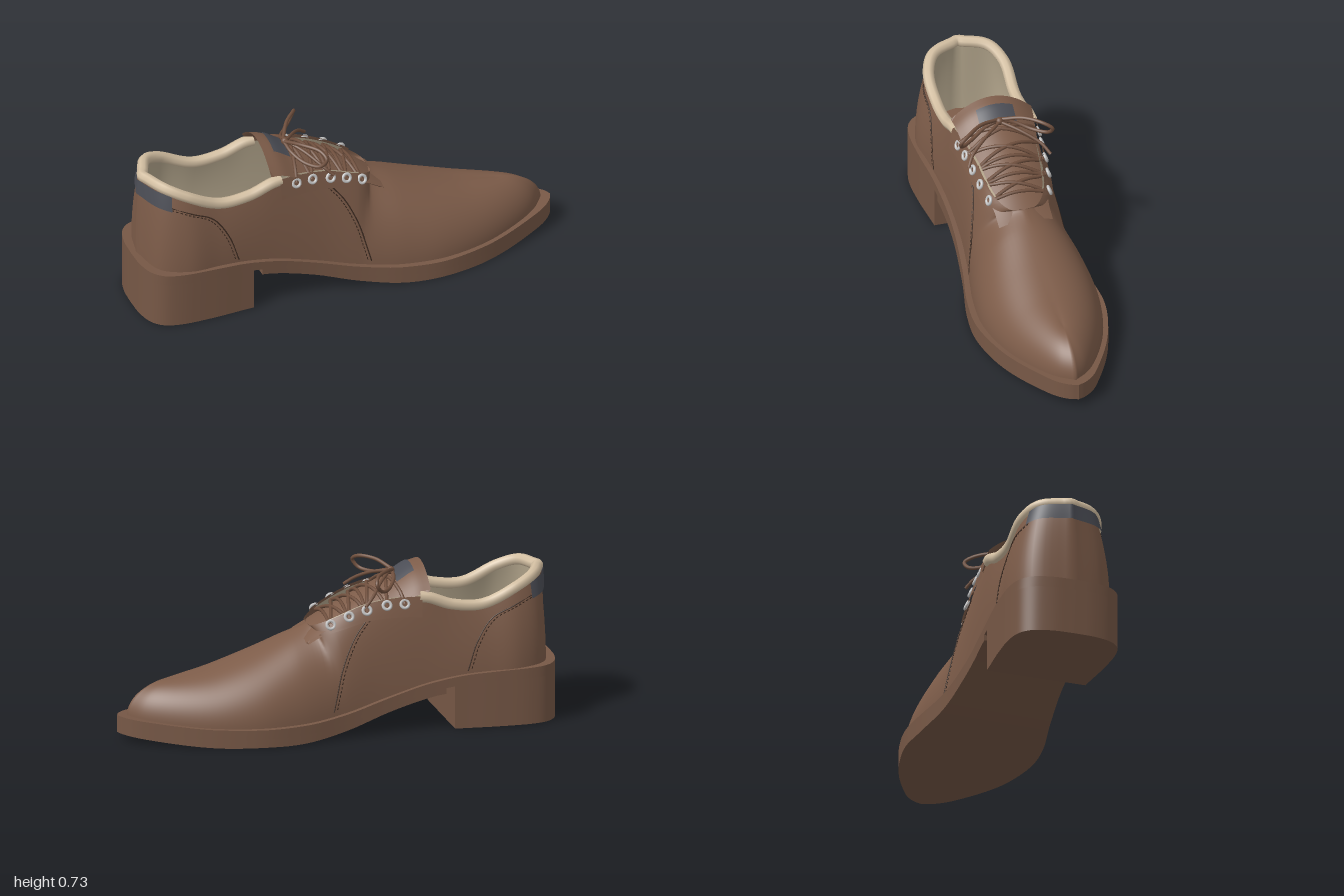
import * as THREE from 'three';
import { mergeVertices, toCreasedNormals } from 'three/addons/utils/BufferGeometryUtils.js';

const paint = (name, color) => new THREE.MeshStandardMaterial({ name, color, side: THREE.DoubleSide });
const V = (x, y, z) => new THREE.Vector3(x, y, z);

// Smooth height profile through [x, y] points sorted by x
function profile(pts) {
  const n = pts.length;
  const slope = (i) => {
    const a = pts[Math.max(i - 1, 0)], b = pts[Math.min(i + 1, n - 1)];
    return (b[1] - a[1]) / (b[0] - a[0]);
  };
  return (x) => {
    x = Math.min(Math.max(x, pts[0][0]), pts[n - 1][0]);
    let i = 0;
    while (i < n - 2 && x > pts[i + 1][0]) i++;
    const [x0, y0] = pts[i], [x1, y1] = pts[i + 1], h = x1 - x0, t = (x - x0) / h;
    const t2 = t * t, t3 = t2 * t;
    return (2 * t3 - 3 * t2 + 1) * y0 + (t3 - 2 * t2 + t) * h * slope(i)
      + (3 * t2 - 2 * t3) * y1 + (t3 - t2) * h * slope(i + 1);
  };
}

// Surface over a grid of points fn(u, v), welded for smooth normals
function grid(fn, nu, nv, crease) {
  const pos = [], idx = [];
  for (let i = 0; i <= nu; i++) for (let j = 0; j <= nv; j++) pos.push(...fn(i / nu, j / nv).toArray());
  for (let i = 0; i < nu; i++) for (let j = 0; j < nv; j++) {
    const a = i * (nv + 1) + j, b = a + nv + 1;
    idx.push(a, b, a + 1, b, b + 1, a + 1);
  }
  let g = new THREE.BufferGeometry();
  g.setAttribute('position', new THREE.Float32BufferAttribute(pos, 3));
  g.setIndex(idx);
  g = mergeVertices(g, 1e-4);
  g.computeVertexNormals();
  return crease ? toCreasedNormals(g, crease) : g;
}

// Solid layer from a half outline (x, z) between two height profiles
function slab(half, top, bottom) {
  return grid((u, v) => {
    const p = half[Math.round(u * (half.length - 1))], c = Math.round(v * 4) % 4;
    return V(p.x, c < 2 ? top(p.x) : bottom(p.x), c === 0 || c === 3 ? p.z : -p.z);
  }, half.length - 1, 4, 0.6);
}

const tube = (pts, r, n = 40) => new THREE.TubeGeometry(new THREE.CatmullRomCurve3(pts), n, r, 8);

// Height profiles of the sole layers
const weltTop = profile([[-1, 0.265], [-0.6, 0.25], [-0.4, 0.22], [-0.2, 0.165], [0, 0.11], [0.2, 0.085], [0.6, 0.084], [0.8, 0.097], [1, 0.115]]);
const weltLow = profile([[-1, 0.215], [-0.6, 0.207], [-0.4, 0.18], [-0.2, 0.125], [0, 0.068], [0.2, 0.042], [0.6, 0.04], [0.8, 0.052], [1, 0.075]]);
const soleLow = profile([[-0.5, 0.17], [-0.4, 0.155], [-0.2, 0.1], [0, 0.035], [0.2, 0.002], [0.4, 0], [0.6, 0], [0.8, 0.014], [1, 0.036]]);

// Upper stations from toe to heel: base x, z, rim x, y, z, arch roundness
const stations = [
  [0.955, 0, 0.74, 0.265, 0, 1], [0.9, 0.07, 0.73, 0.267, 0, 1], [0.8, 0.14, 0.68, 0.277, 0, 1],
  [0.6, 0.23, 0.55, 0.307, 0, 1], [0.4, 0.272, 0.38, 0.365, 0, 1], [0.22, 0.264, 0.22, 0.432, 0, 1],
  [0.08, 0.24, 0.13, 0.472, 0, 1], [0.03, 0.23, 0.12, 0.48, 0.06, 0.9], [-0.01, 0.224, 0.05, 0.515, 0.115, 0.7],
  [-0.15, 0.208, -0.14, 0.592, 0.15, 0.35], [-0.36, 0.205, -0.37, 0.608, 0.175, 0], [-0.5, 0.212, -0.5, 0.565, 0.178, 0],
  [-0.65, 0.224, -0.64, 0.555, 0.178, 0], [-0.8, 0.234, -0.8, 0.62, 0.175, 0], [-0.925, 0.175, -0.9, 0.657, 0.125, 0],
  [-0.975, 0, -0.96, 0.662, 0, 0]];
const LAST = stations.length - 1;
const baseCurve = new THREE.CatmullRomCurve3(stations.map((s) => V(s[0], 0, s[1])));
const rimCurve = new THREE.CatmullRomCurve3(stations.map((s) => V(s[2], s[3], s[4])));

function upperPoint(s, t, side = 1) {
  const b = baseCurve.getPoint(s / LAST), r = rimCurve.getPoint(s / LAST);
  b.y = weltTop(b.x) - 0.005;
  const i = Math.min(Math.floor(s), LAST - 1);
  const k = THREE.MathUtils.lerp(stations[i][5], stations[i + 1][5], s - i), a = t * Math.PI / 2;
  const c = k * Math.cos(a) + (1 - k) * (1 - t * t), h = k * Math.sin(a) + (1 - k) * t;
  return V(r.x + (b.x - r.x) * c, b.y + (r.y - b.y) * h, side * Math.max(0, r.z + (b.z - r.z) * c));
}

// Full loop of stations: left side to the heel, then back along the right side
const around = (u, s0) => {
  const d = (u < 0.5 ? u : 1 - u) * 2;
  return [s0 + d * (LAST - s0), u < 0.5 ? 1 : -1];
};

// Arched tongue height
const tongueMid = profile([[-0.4, 0.733], [-0.34, 0.715], [-0.27, 0.672], [-0.2, 0.64], [-0.1, 0.592], [0.05, 0.512], [0.16, 0.44]]);
const tongueWide = (x) => 0.125 + 0.062 * Math.min(1, Math.max(0, (0.1 - x) / 0.5));
const tongueY = (x, z) => tongueMid(x) - (0.02 + 0.07 * (0.16 - x) / 0.56) * (z / tongueWide(x)) ** 2;

export function createModel() {
  const shoe = new THREE.Group();
  shoe.name = 'shoe';
  const leather = paint('brown leather', 0x7d5c49), soleMat = paint('brown sole', 0x775846);
  const cream = paint('cream trim', 0xd3bfa2), liningMat = paint('beige lining', 0xb8aa90);
  const grey = paint('slate tab', 0x4b4d55), metal = paint('silver metal', 0xc4c4c4);
  const laceMat = paint('lace brown', 0x6f4f3d), thread = paint('dark thread', 0x3d2b21);
  const add = (name, geo, mat) => {
    const m = new THREE.Mesh(geo, mat);
    m.name = name;
    shoe.add(m);
    return m;
  };

  // Sole layers and heel block
  const outline = new THREE.CatmullRomCurve3([[1, 0], [0.985, 0.035], [0.94, 0.085], [0.85, 0.14], [0.7, 0.215], [0.55, 0.268],
    [0.38, 0.3], [0.2, 0.288], [0, 0.25], [-0.25, 0.226], [-0.5, 0.234], [-0.7, 0.25], [-0.85, 0.25],
    [-0.925, 0.23], [-0.97, 0.185], [-0.995, 0.1], [-1, 0]].map(([x, z]) => V(x, 0, z))).getPoints(96);
  add('welt', slab(outline, weltTop, weltLow), soleMat);
  const front = outline.filter((p) => p.x > -0.46), back = outline.filter((p) => p.x < -0.5);
  add('outsole', slab([...front, V(-0.46, 0, 0.232), V(-0.46, 0, 0)], weltLow, soleLow), soleMat);
  add('heel', slab([V(-0.5, 0, 0), V(-0.5, 0, 0.234), ...back], weltLow, () => 0), soleMat);

  // Upper, lining and insole
  const upper = add('upper', grid((u, v) => {
    const [s, side] = around(u, 0);
    return upperPoint(s, v, side);
  }, 180, 20), leather);
  add('lining', grid((u, v) => {
    const [s, side] = around(u, 8), p = upperPoint(s, v, side);
    return V(p.x + 0.02 * THREE.MathUtils.smoothstep(-p.x, 0.7, 0.95), p.y, p.z * 0.93);
  }, 90, 10), liningMat);
  const inner = baseCurve.getPoints(90).filter((p) => p.x < 0.1).map((p) => V(p.x * 0.98, 0, p.z * 0.96));
  add('insole', slab([V(0.1, 0, 0), ...inner], (x) => weltTop(x) + 0.02, weltTop), leather);

  // Padded collar around the opening
  const rim = [];
  for (let i = 0; i <= 40; i++) {
    const [s, side] = around(i / 40, 9.9), p = rimCurve.getPoint(s / LAST);
    rim.push(V(p.x + 0.016 * THREE.MathUtils.smoothstep(-p.x, 0.7, 0.95), p.y, p.z * side));
  }
  add('collar', tube(rim, 0.026, 120), cream);

  // Heel tab wrapping the back
  add('heelTab', grid((u, v) => {
    const [s, side] = around(u, 13.55), p = upperPoint(s, 0.79 + 0.18 * v, side);
    const out = V(p.x + 0.75, 0, p.z).normalize().multiplyScalar(0.01);
    return p.add(out);
  }, 40, 4), grey);

  // Tongue with its patch
  add('tongue', grid((u, v) => {
    const x = -0.4 + 0.56 * u, w = tongueWide(x), under = v > 0.5;
    const z = w * (under ? 3 - 4 * v : 4 * v - 1);
    return V(x, tongueY(x, z) - (under && u > 0 && u < 1 ? 0.016 : 0), z);
  }, 40, 32, 0.9), leather);
  add('tonguePatch', grid((u, v) => {
    const x = -0.35 + 0.08 * u, z = 0.085 * (2 * v - 1);
    return V(x, tongueY(x, z) + 0.006, z);
  }, 8, 12), grey);

  // Finds a point on the side of the upper
  upper.updateMatrixWorld();
  const ray = new THREE.Raycaster();
  const onUpper = (x, y, side, lift = 0) => {
    ray.set(V(x, y, 1), V(0, 0, -1));
    const hit = ray.intersectObject(upper)[0];
    return V(x, y, side * ((hit && hit.point.z > 0 ? hit.point.z : 0.17) + lift));
  };

  const holes = [[0.05, 0.5], [-0.03, 0.537], [-0.11, 0.563], [-0.2, 0.582], [-0.28, 0.585]];
  const seams = {
    vampSeam: [[-0.12, 0.53], [-0.05, 0.44], [0.01, 0.31], [0.04, 0.2], [0.06, 0.12]],
    counterSeam: [[-0.87, 0.575], [-0.78, 0.54], [-0.68, 0.49], [-0.61, 0.39], [-0.565, 0.26]],
  };
  const eyes = { '1': [], '-1': [] };
  for (const side of [1, -1]) {
    const tag = side > 0 ? 'Left' : 'Right';

    // Eyelet facing
    add('facing' + tag, grid((u, v) => {
      const p = upperPoint(7.6 + 2.35 * u, 0.77 + 0.23 * v, side);
      return V(p.x, p.y + 0.004, p.z + side * (0.008 + 0.012 * u * u));
    }, 24, 6), leather);

    // Metal eyelets
    for (const [x, y] of holes) {
      const p = onUpper(x, y, side, 0.016);
      const ring = add('eyelet' + tag, new THREE.TorusGeometry(0.018, 0.007, 8, 20), metal);
      ring.position.copy(p);
      ring.lookAt(p.x + 0.1, p.y + 0.4, p.z + side);
      eyes[side].push(p);
    }

    // Seams with a row of stitches
    for (const [name, pts] of Object.entries(seams)) {
      add(name + tag, tube(pts.map(([x, y]) => onUpper(x, y, side)), 0.003), thread);
      const row = new THREE.CatmullRomCurve3(pts.map(([x, y]) => V(x, y, 0)));
      for (let i = 1; i < 24; i++) {
        const c = row.getPointAt(i / 24), d = row.getTangentAt(i / 24);
        const a = onUpper(c.x - 0.013, c.y - 0.004, side), b = onUpper(a.x + d.x * 0.01, a.y + d.y * 0.01, side);
        const stitch = add('stitch' + tag, new THREE.BoxGeometry(0.004, 0.004, 0.011), thread);
        stitch.position.copy(a);
        stitch.lookAt(b);
      }
    }

    // Bow loop and loose end
    add('bowLoop' + tag, tube([[-0.27, 0.695, 0.01], [-0.22, 0.718, 0.1], [-0.16, 0.715, 0.175], [-0.145, 0.69, 0.212],
      [-0.17, 0.655, 0.2], [-0.22, 0.648, 0.14], [-0.26, 0.672, 0.07], [-0.27, 0.69, 0.01]].map(([x, y, z]) => V(x, y, z * side)), 0.0085, 60), laceMat);
    add('laceEnd' + tag, tube([V(-0.26, 0.69, 0), V(-0.2, 0.665, 0.08 * side), V(-0.14, 0.62, 0.16 * side), V(-0.1, 0.585, 0.19 * side)], 0.0075, 24), laceMat);
  }

  // Laces: straight bars and crossings over the tongue
  const lace = (a, b) => {
    const pts = [];
    for (let i = 0; i <= 10; i++) {
      const p = a.clone().lerp(b, i / 10);
      if (i > 0 && i < 10) p.y = Math.max(p.y, tongueY(p.x, p.z) + 0.01);
      pts.push(p);
    }
    add('lace', tube(pts, 0.008, 30), laceMat);
  };
  for (let i = 0; i < holes.length; i++) {
    if (i < 3) lace(eyes[1][i], eyes[-1][i]);
    if (i < 4) for (const s of [1, -1]) lace(eyes[s][i], eyes[-s][i + 1]);
  }
  const knot = add('knot', new THREE.SphereGeometry(0.018, 16, 10), laceMat);
  knot.position.set(-0.265, 0.69, 0);

  return shoe;
}
